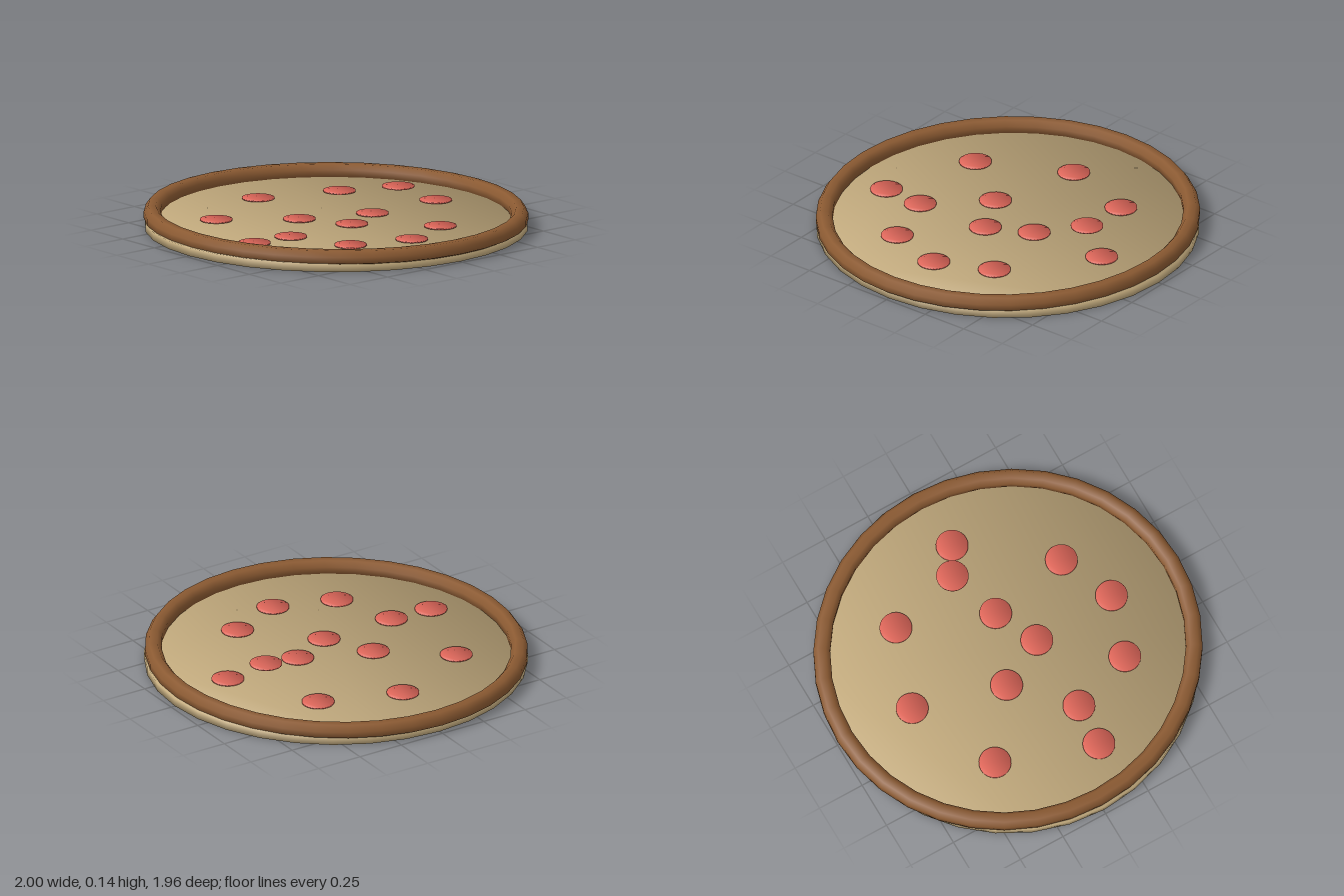
import * as THREE from 'three';

const mat = (color) => new THREE.MeshStandardMaterial({ color });

// Thin disc standing on y = 0, with normals leaning outward at the rim for a pillowy look
function disc(radius, height, halfSegments) {
  const shape = new THREE.Shape().absarc(0, 0, radius, 0, Math.PI * 2, false);
  const geo = new THREE.ExtrudeGeometry(shape, { depth: height, bevelEnabled: false, curveSegments: halfSegments });
  geo.rotateX(-Math.PI / 2);
  const pos = geo.attributes.position;
  const n = new THREE.Vector3();
  for (let i = 0; i < pos.count; i++) {
    n.set(pos.getX(i) / radius, pos.getY(i) > height / 2 ? 1 : -1, pos.getZ(i) / radius).normalize();
    geo.attributes.normal.setXYZ(i, n.x, n.y, n.z);
  }
  return geo;
}

export function createModel() {
  const model = new THREE.Group();
  const add = (name, geo, material, x, y, z) => {
    const mesh = new THREE.Mesh(geo, material);
    mesh.name = name;
    mesh.position.set(x, y, z);
    model.add(mesh);
    return mesh;
  };

  // Flat round dough base
  add('base', disc(0.978, 0.043, 16), mat(0xc2aa7d), 0.003, 0, 0);

  // Raised crust ring, eight-sided in section and slightly oval
  const section = [
    [0.94, 0.035], [0.978, 0.035], [1, 0.045], [1, 0.077], [0.978, 0.107],
    [0.937, 0.107], [0.914, 0.08], [0.914, 0.045], [0.94, 0.035],
  ].map(([x, y]) => new THREE.Vector2(x, y));
  const crust = add('crust', new THREE.LatheGeometry(section, 36), mat(0x8b5a32), 0, 0, 0);
  crust.scale.z = 0.966;

  // Round topping slices scattered on the base; one is lifted
  const slices = [
    [0.035, -0.635], [-0.06, -0.465, 0.128], [-0.435, -0.39], [0.48, -0.29], [0.045, -0.205],
    [-0.58, 0.03], [0.155, 0.025], [0.605, 0.005], [-0.1, 0.16], [0.5, 0.325],
    [-0.36, 0.495], [0.165, 0.44], [0.15, 0.67],
  ];
  const sliceGeo = disc(0.083, 0.007, 16);
  const sliceMat = mat(0xe0675a);
  for (const [x, z, y = 0.047] of slices) add('toppingSlice', sliceGeo, sliceMat, x, y, z);

  return model;
}
